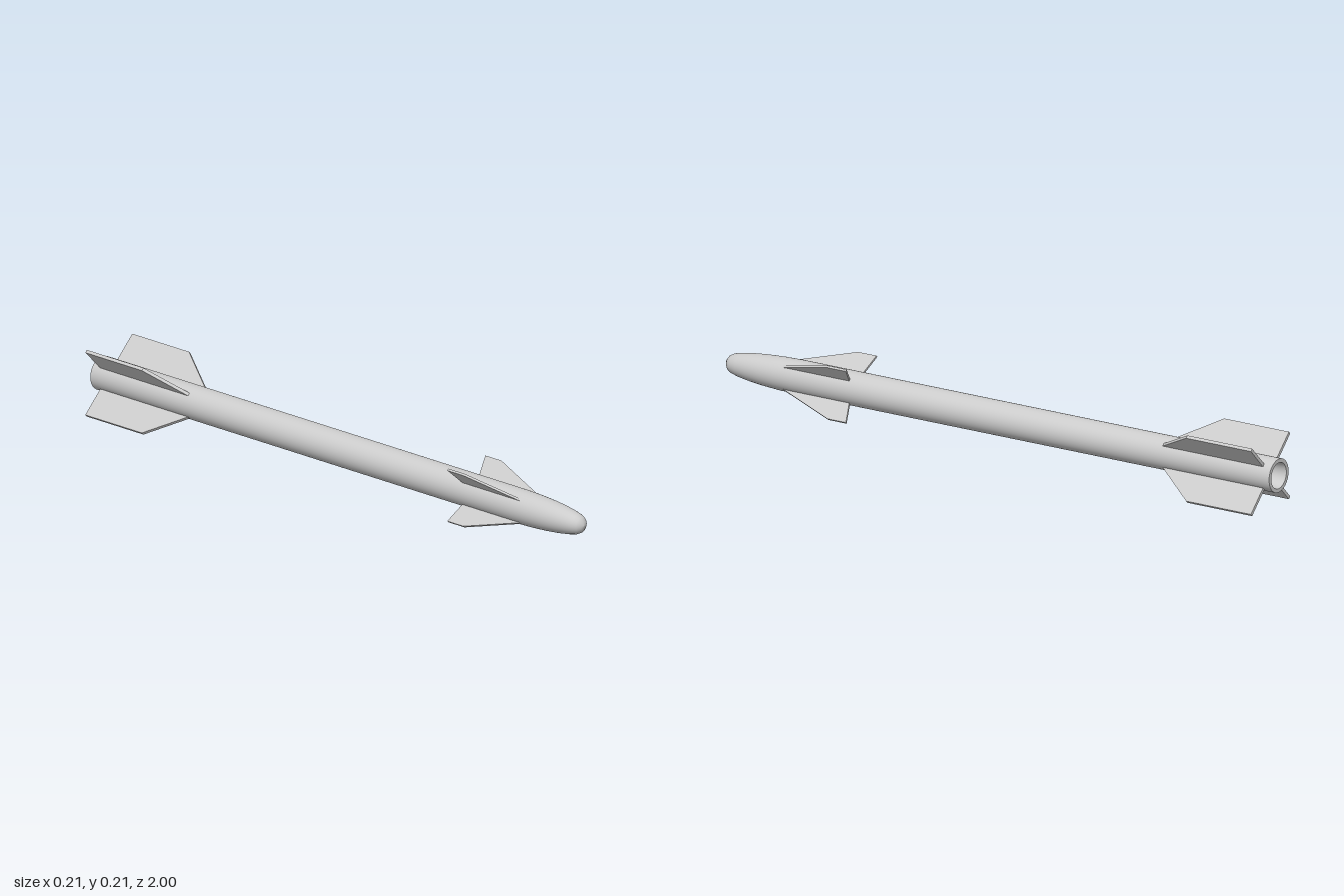
import * as THREE from 'three';

const AXIS_Y = 0.108;
const R = 0.053;
const material = new THREE.MeshStandardMaterial({ color: 0xcccccc });

// Revolve [radius, z] pairs, listed from back to front, around the z axis
function revolve(name, profile) {
  const points = profile.map(([r, z]) => new THREE.Vector2(r, z));
  const geometry = new THREE.LatheGeometry(points, 48).rotateX(Math.PI / 2);
  const mesh = new THREE.Mesh(geometry, material);
  mesh.name = name;
  return mesh;
}

// Four flat fins in an X, from a [z, radius] outline
function finSet(name, outline, thickness) {
  const shape = new THREE.Shape(outline.map(([z, r]) => new THREE.Vector2(z, r)));
  const geometry = new THREE.ExtrudeGeometry(shape, { depth: thickness, bevelEnabled: false })
    .translate(0, 0, -thickness / 2)
    .rotateY(-Math.PI / 2);
  const set = new THREE.Group();
  set.name = name + 's';
  for (let i = 0; i < 4; i++) {
    const fin = new THREE.Mesh(geometry, material);
    fin.name = name;
    fin.rotation.z = Math.PI / 4 + i * Math.PI / 2;
    set.add(fin);
  }
  return set;
}

export function createModel() {
  const model = new THREE.Group();
  model.name = 'missile';
  const airframe = new THREE.Group();
  airframe.name = 'airframe';
  airframe.position.y = AXIS_Y;
  model.add(airframe);

  // Straight tube
  airframe.add(revolve('body', [[R, -1], [R, 0.74]]));

  // Slender nose with a blunt round tip
  airframe.add(revolve('nose', [
    [R, 0.74], [0.0515, 0.8], [0.048, 0.86], [0.043, 0.91], [0.037, 0.95],
    [0.031, 0.975], [0.024, 0.988], [0.013, 0.997], [0, 1],
  ]));

  // Exhaust opening: flat rim and a hollow that narrows inwards
  airframe.add(revolve('exhaustRim', [[0.041, -1], [R, -1]]));
  airframe.add(revolve('exhaustWall', [[0.032, -0.92], [0.041, -1]]));
  airframe.add(revolve('exhaustFloor', [[0, -0.92], [0.032, -0.92]]));

  // Small swept fins behind the nose
  airframe.add(finSet('frontFin', [
    [0.535, 0.04], [0.79, 0.046], [0.58, 0.118], [0.513, 0.118],
  ], 0.007));

  // Large fins at the tail
  airframe.add(finSet('tailFin', [
    [-0.97, 0.045], [-0.595, 0.045], [-0.735, 0.146], [-0.97, 0.146],
  ], 0.01));

  return model;
}
